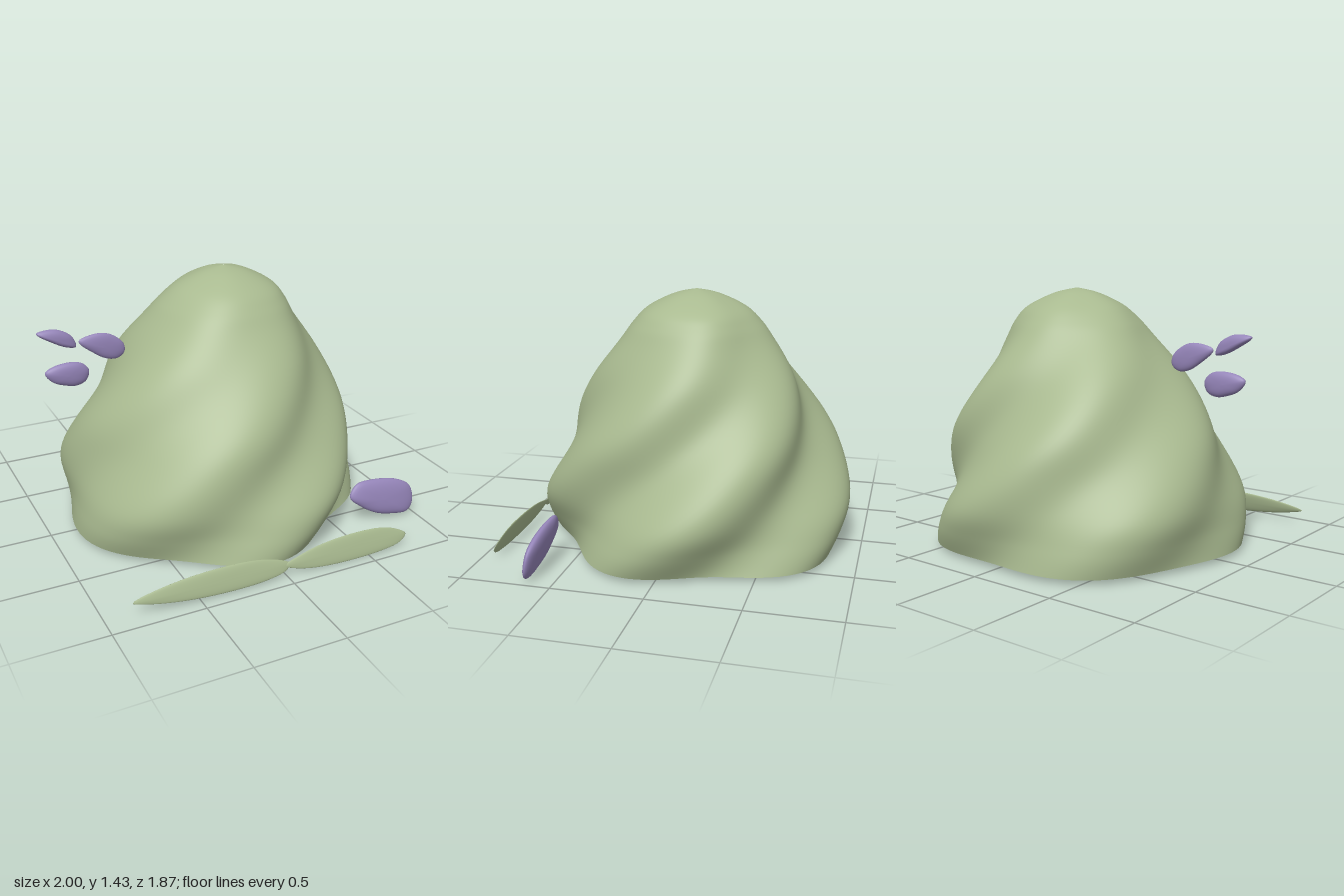
import * as THREE from 'three';

const sageGreen = new THREE.MeshStandardMaterial({ color: 0xa9ba90 });
sageGreen.name = 'sageGreen';
const lilac = new THREE.MeshStandardMaterial({ color: 0x9585b9 });
lilac.name = 'lilac';

// Skin joining closed rings of points (rings counterclockwise around the growth direction)
function skin(rings) {
  const n = rings[0].length, pos = [], idx = [];
  rings.forEach(r => r.forEach(p => pos.push(...p)));
  for (let i = 0; i < rings.length - 1; i++) {
    for (let j = 0; j < n; j++) {
      const k = (j + 1) % n, a = i * n + j, b = i * n + k;
      idx.push(a, b, b + n, a, b + n, a + n);
    }
  }
  const g = new THREE.BufferGeometry();
  g.setAttribute('position', new THREE.Float32BufferAttribute(pos, 3));
  g.setIndex(idx);
  g.computeVertexNormals();
  return g;
}

function mesh(name, geometry, material) {
  const m = new THREE.Mesh(geometry, material);
  m.name = name;
  return m;
}

// Mound: five rounded lobes twisting about a slightly leaning axis, fading towards the tip
function makeMound() {
  const profile = new THREE.SplineCurve([
    [0.88, 0.03], [0.89, 0.15], [0.885, 0.3], [0.82, 0.5], [0.735, 0.7], [0.585, 0.95],
    [0.435, 1.15], [0.36, 1.25], [0.275, 1.33], [0.13, 1.4], [0.002, 1.43],
  ].map(p => new THREE.Vector2(...p)));
  const rings = [], sides = 120, steps = 60, rad = Math.PI / 180;
  for (let i = 0; i <= steps; i++) {
    const { x: radius, y } = profile.getPoint(i / steps);
    const groove = (90 + 93 * (y - 0.62)) * rad;
    const fade = 1 - 0.65 * THREE.MathUtils.smoothstep(y, 0.65, 1.35);
    const cx = 0.1 * Math.min(1, y / 1.3) ** 2, ring = [];
    for (let j = 0; j < sides; j++) {
      const a = j / sides * Math.PI * 2, local = a - groove;
      const wave = (1 + Math.cos(5 * local)) / 2;
      const depth = 0.105 + 0.035 * Math.cos(local - 35 * rad);
      const r = radius * (1 - depth * fade * wave);
      ring.push([cx + r * Math.sin(a), y, -0.055 + r * Math.cos(a)]);
    }
    rings.push(ring);
  }
  const group = new THREE.Group();
  group.name = 'mound';
  const bottom = rings[0].map(() => [0, 0.03, -0.055]);
  group.add(mesh('moundBody', skin(rings), sageGreen));
  group.add(mesh('moundBase', skin([bottom, rings[0]]), sageGreen));
  return group;
}

// Pillow: full, lens-shaped solid from a clockwise outline, leaning in z by its height
function pillow(points, z, halfThickness, lean) {
  const curve = new THREE.CatmullRomCurve3(
    points.map(([x, y]) => new THREE.Vector3(x, y, 0)), true, 'centripetal');
  const outline = curve.getPoints(48).slice(0, 48).reverse();
  const box = new THREE.Box3().setFromPoints(outline);
  const c = box.getCenter(new THREE.Vector3());
  const rings = [];
  for (let i = 0; i <= 16; i++) {
    const t = (i / 16 - 0.5) * Math.PI, s = Math.max(Math.cos(t), 0.001) ** 0.8;
    rings.push(outline.map(p => {
      const x = c.x + (p.x - c.x) * s, y = c.y + (p.y - c.y) * s;
      return [x, y, z + halfThickness * Math.sin(t) + lean * (y - c.y)];
    }));
  }
  return skin(rings);
}

export function createModel() {
  const model = new THREE.Group();
  model.name = 'twistedMound';
  model.add(makeMound());

  // Two long leaves lying in front
  model.add(mesh('rightLeaf', pillow([
    [-0.86, 0.085], [-0.7, 0.122], [-0.4, 0.143], [-0.15, 0.13], [0, 0.088],
    [0.02, 0.07], [-0.01, 0.04], [-0.12, 0.018], [-0.35, 0.013], [-0.6, 0.03], [-0.78, 0.06],
  ], 0.915, 0.011, -0.3), sageGreen));
  model.add(mesh('leftLeaf', pillow([
    [-0.02, 0.068], [0.06, 0.095], [0.2, 0.125], [0.4, 0.14], [0.6, 0.13], [0.71, 0.095],
    [0.75, 0.065], [0.71, 0.03], [0.6, 0.01], [0.35, 0.004], [0.15, 0.018], [0.03, 0.045],
  ], 0.918, 0.01, -0.3), sageGreen));

  // Large petal beside the leaves
  model.add(mesh('largePetal', pillow([
    [0.575, 0.18], [0.62, 0.245], [0.72, 0.255], [0.9, 0.222], [0.985, 0.165],
    [0.998, 0.07], [0.96, 0.02], [0.85, 0.026], [0.74, 0.055], [0.64, 0.115],
  ], 0.627, 0.036, -0.17), lilac));

  // Cluster of three small floating petals
  const cluster = new THREE.Group();
  cluster.name = 'petalCluster';
  [
    [[-1, 1.2], [-0.95, 1.213], [-0.88, 1.205], [-0.81, 1.16], [-0.79, 1.1], [-0.835, 1.102], [-0.92, 1.142]],
    [[-0.775, 1.125], [-0.68, 1.155], [-0.6, 1.142], [-0.525, 1.08], [-0.52, 1.03], [-0.56, 1.0],
      [-0.62, 1.005], [-0.69, 1.045]],
    [[-0.968, 0.975], [-0.92, 1.005], [-0.82, 1.016], [-0.76, 1.0], [-0.725, 0.955], [-0.745, 0.9],
      [-0.8, 0.88], [-0.86, 0.89], [-0.93, 0.92]],
  ].forEach((outline, i) => cluster.add(
    mesh('smallPetal' + (i + 1), pillow(outline, -0.007, i === 1 ? 0.024 : 0.03, 0), lilac)));
  model.add(cluster);
  return model;
}
